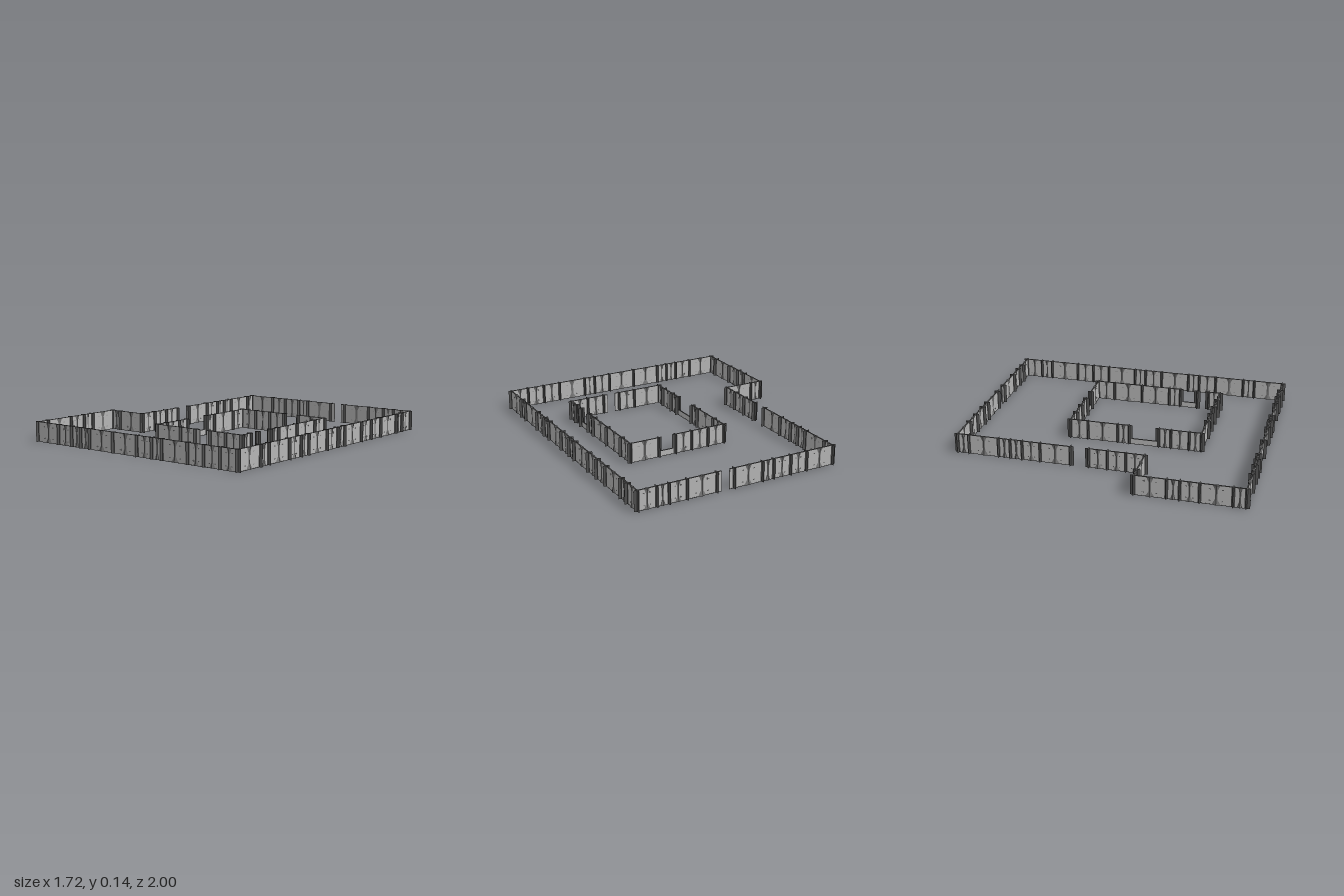
import * as THREE from 'three';

const H = 0.135;        // wall height
const R = 0.023;        // reach of a post's points
const EDGE = 0.003;     // thickness of the dark edging strips
const grey = (color) => new THREE.MeshStandardMaterial({ color, flatShading: true });
const postMat = grey(0x505050);
const ribMat = grey(0x727272);
const slabMat = grey(0xb4b4b4);
const wedgeMat = grey(0x9c9c9c);

// Four-pointed star post, extruded upwards
function postGeometry() {
  const star = new THREE.Shape();
  for (let i = 0; i < 8; i++) {
    const a = i * Math.PI / 4, r = i % 2 ? 0.007 : R;
    star[i ? 'lineTo' : 'moveTo'](r * Math.cos(a), r * Math.sin(a));
  }
  star.closePath();
  return new THREE.ExtrudeGeometry(star, { depth: H, bevelEnabled: false }).rotateX(-Math.PI / 2);
}

const postGeo = postGeometry();
const slabGeo = new THREE.BoxGeometry(1, 1, 0.006).translate(0, 0.5, 0);
const edgeGeo = new THREE.BoxGeometry(1, EDGE, 0.008).translate(0, EDGE / 2, 0);
// Flattened four-sided prism: wide along the wall, shallow across it
const prism = (top, bottom, h, y) =>
  new THREE.CylinderGeometry(top, bottom, h, 4).scale(1, 1, 0.35).translate(0, y + h / 2, 0);
const stemGeo = prism(0.017, 0.017, H - 0.004, 0.001);
const footGeo = prism(0.014, 0.036, 0.04, 0.001);
const headGeo = prism(0.032, 0.014, 0.04, H - 0.042);
const wedgeGeo = new THREE.ConeGeometry(0.016, 0.045, 4).scale(1, 1, 0.3).rotateZ(Math.PI / 2);

function add(parent, geo, mat, name, x = 0, y = 0, z = 0) {
  const m = new THREE.Mesh(geo, mat);
  m.name = name;
  m.position.set(x, y, z);
  parent.add(m);
  return m;
}

// Plain slab with a dark strip along its top and bottom
function slab(parent, length, h, x = 0) {
  add(parent, slabGeo, slabMat, 'slab', x, EDGE).scale.set(length, h - 2 * EDGE, 1);
  add(parent, edgeGeo, postMat, 'baseStrip', x).scale.x = length;
  add(parent, edgeGeo, postMat, 'topStrip', x, h - EDGE).scale.x = length;
}

// Full panel: slab with a flared centre rib and side wedges
function wallPanel(g, length) {
  slab(g, length, H - 0.001);
  const s = Math.min(1, length / 0.16);
  add(g, stemGeo, ribMat, 'centreRib').scale.x = s;
  add(g, footGeo, ribMat, 'ribFoot').scale.x = s;
  add(g, headGeo, ribMat, 'ribHead').scale.x = s;
  if (length < 0.1) return;
  for (const side of [-1, 1]) {
    for (const y of [0.028, 0.105]) {
      const w = add(g, wedgeGeo, wedgeMat, 'sideWedge', side * length * 0.28, y);
      w.scale.x = s;
      if (side > 0) w.rotation.z = Math.PI;
    }
  }
}

// Doorway: a short jamb beside each post
function doorway(g, length) {
  const jamb = (length - 0.057) / 2;
  for (const side of [-1, 1]) slab(g, jamb, H - 0.001, side * (length - jamb) / 2);
}

// Straight run of posts and panels; gaps, doors and lows list panel indices
function run(root, name, axis, fixed, stops, used, { gaps = [], doors = [], lows = [] } = {}) {
  const g = new THREE.Group();
  g.name = name;
  const at = (t) => axis === 'x' ? [t, fixed] : [fixed, t];
  stops.forEach((t, i) => {
    const [x, z] = at(t), key = x.toFixed(2) + ',' + z.toFixed(2);
    if (!used.has(key)) {
      used.add(key);
      add(g, postGeo, postMat, 'post', x, 0, z);
    }
    if (i === stops.length - 1 || gaps.includes(i)) return;
    const length = stops[i + 1] - t, p = new THREE.Group();
    const [px, pz] = at(t + length / 2);
    p.position.set(px, 0, pz);
    if (axis === 'z') p.rotation.y = Math.PI / 2;
    if (doors.includes(i)) {
      p.name = 'doorway';
      doorway(p, length);
    } else if (lows.includes(i)) {
      p.name = 'lowPanel';
      slab(p, length, 0.04);
    } else {
      p.name = 'wallPanel';
      wallPanel(p, length);
    }
    g.add(p);
  });
  root.add(g);
}

export function createModel() {
  const root = new THREE.Group();
  root.name = 'walledCompound';
  const used = new Set();
  const X = 0.835, Z = 0.977, N = -0.552, M = 0.283;

  // Outer wall with a stepped corner
  run(root, 'outerBackWall', 'x', -Z,
    [N, -0.35, -0.23, -0.105, -0.023, 0.18, 0.302, 0.506, 0.628, 0.71, X], used, { doors: [5] });
  run(root, 'outerFrontWall', 'x', Z,
    [-X, -0.635, -0.512, -0.43, -0.35, -0.145, 0.058, 0.18, 0.262, 0.465, 0.588, 0.71, X], used);
  run(root, 'outerLeftWall', 'z', X,
    [-Z, -0.858, -0.777, -0.573, -0.45, -0.328, -0.124, -0.043, 0.08, M, 0.365, 0.488, 0.692, 0.774, Z], used);
  run(root, 'outerRightWall', 'z', N,
    [-Z, -0.9, -0.695, -0.614, -0.532, -0.41, -0.206, -0.084, 0.04, 0.161, M], used, { gaps: [6] });
  run(root, 'stepWall', 'x', M, [-X, -0.755, N], used);
  run(root, 'stepSideWall', 'z', -X, [M, 0.488, 0.57, 0.692, 0.896, Z], used);

  // Inner enclosure
  const L = -0.145, I = 0.547, B = -0.328, F = 0.57;
  run(root, 'innerBackWall', 'x', B, [L, -0.023, 0.1, 0.222, 0.344, I], used, { lows: [3] });
  run(root, 'innerFrontWall', 'x', F, [L, 0.058, 0.18, 0.302, 0.425, I], used, { doors: [2] });
  run(root, 'innerRightWall', 'z', L,
    [B, -0.206, 0, 0.08, M, 0.365, 0.488, F], used, { lows: [3] });
  run(root, 'innerLeftWall', 'z', I,
    [B, -0.206, 0, 0.202, M, 0.406, 0.488, F], used, { gaps: [5], lows: [4] });
  return root;
}
